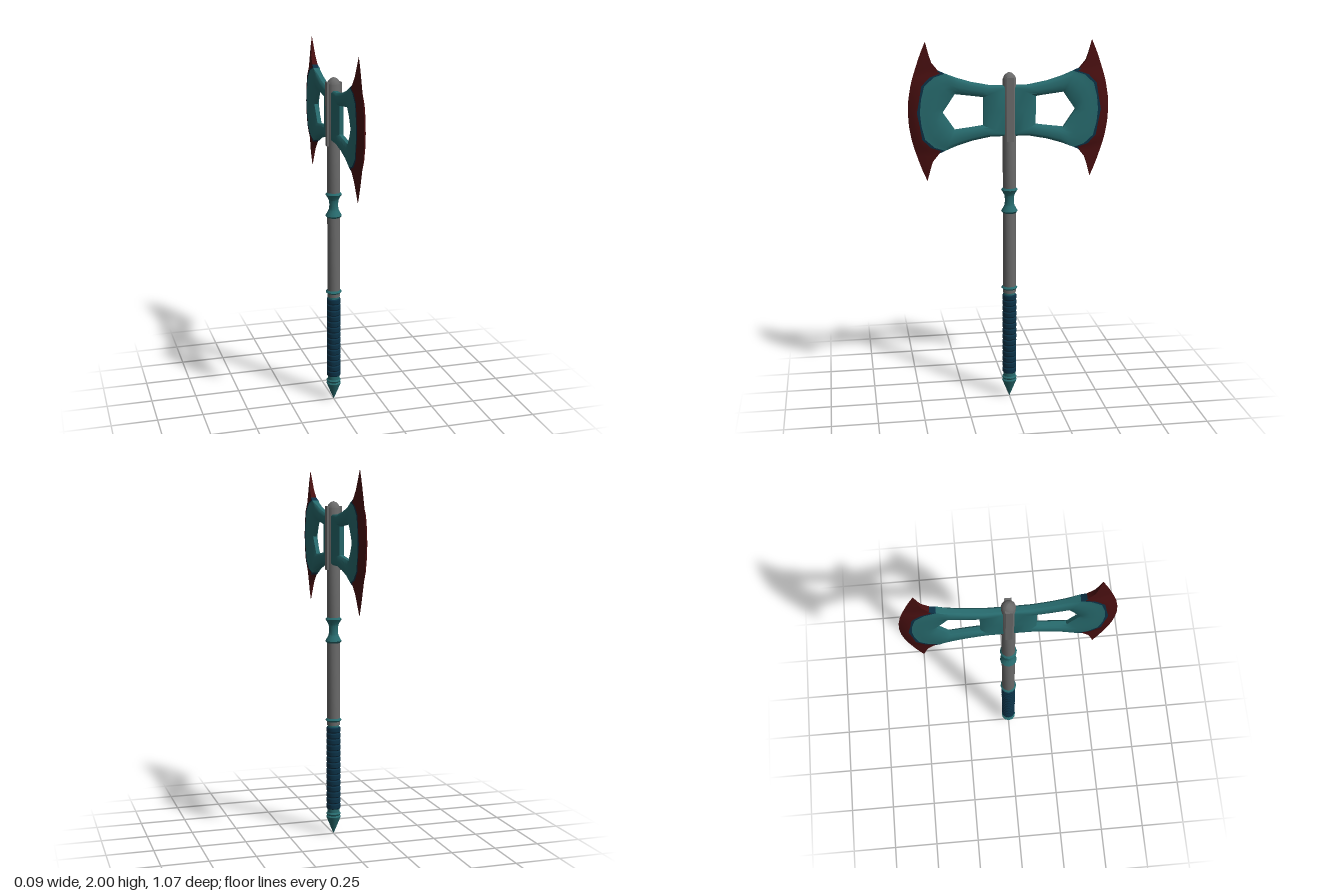
import * as THREE from 'three';
import { toCreasedNormals } from 'three/addons/utils/BufferGeometryUtils.js';

const mat = (name, color) => {
  const m = new THREE.MeshStandardMaterial({ color });
  m.name = name;
  return m;
};

// Skin closed cross-sections; paint(i, j) picks the material slot of each quad
function loft(sections, closed, paint = () => 0) {
  const n = sections.length, m = sections[0].length;
  const faces = [[], []];
  for (let i = 0; i < (closed ? n : n - 1); i++) {
    for (let j = 0; j < m; j++) {
      const i2 = (i + 1) % n, j2 = (j + 1) % m;
      const a = i * m + j, b = i2 * m + j, c = i2 * m + j2, d = i * m + j2;
      faces[paint(i, j)].push(a, d, c, a, c, b);
    }
  }
  const geo = new THREE.BufferGeometry();
  geo.setAttribute('position', new THREE.Float32BufferAttribute(sections.flat(2), 3));
  geo.setIndex(faces.flat());
  geo.addGroup(0, faces[0].length, 0);
  geo.addGroup(faces[0].length, faces[1].length, 1);
  return toCreasedNormals(geo, 0.6);
}

// Cross-section from an inner to an outer point [z, y]; rows are [fraction, half thickness]
function section(inner, outer, rows) {
  const at = ([v, x], side) => [
    side * x,
    THREE.MathUtils.lerp(inner[1], outer[1], v),
    THREE.MathUtils.lerp(inner[0], outer[0], v),
  ];
  return [...rows.map(r => at(r, 1)), ...[...rows].reverse().map(r => at(r, -1))];
}

const flip = ([z, y]) => [z, -y];

// Flat body around the five-sided opening: [outline, opening, rim half thickness]
function bladeBody() {
  const half = [
    [[0, 0], [0.14, 0], 0.012],
    [[0, 0.135], [0.14, 0.075], 0.011],
    [[0.1, 0.135], [0.165, 0.079], 0.011],
    [[0.2, 0.154], [0.21, 0.085], 0.011],
    [[0.28, 0.178], [0.26, 0.091], 0.011],
    [[0.345, 0.203], [0.29, 0.095], 0.018],
    [[0.40, 0.185], [0.303, 0.076], 0.020],
    [[0.45, 0.14], [0.32, 0.051], 0.021],
    [[0.468, 0.07], [0.338, 0.025], 0.022],
    [[0.475, 0], [0.355, 0], 0.022],
  ];
  const ring = [...half, ...half.slice(1, -1).reverse().map(([o, h, e]) => [flip(o), flip(h), e])];
  return loft(ring.map(([o, h, e]) => section(h, o, [
    [0, 0.010], [0.18, 0.021], [0.45, 0.024], [0.75, 0.0235], [0.9, Math.max(0.019, e)], [1, e],
  ])), true);
}

// Crescent cutting edge: [inner, outer, half thickness, width share of the border]
function cuttingEdge() {
  const half = [
    [[0.44, 0.368], [0.44, 0.368], 0, 0.02],
    [[0.423, 0.30], [0.463, 0.315], 0.008, 0.02],
    [[0.41, 0.26], [0.478, 0.275], 0.012, 0.02],
    [[0.375, 0.217], [0.49, 0.24], 0.015, 0.06],
    [[0.345, 0.203], [0.50, 0.21], 0.018, 0.14],
    [[0.40, 0.185], [0.508, 0.185], 0.020, 0.2],
    [[0.45, 0.14], [0.52, 0.14], 0.021, 0.22],
    [[0.468, 0.07], [0.532, 0.07], 0.022, 0.14],
    [[0.475, 0], [0.536, 0], 0.022, 0.26],
  ];
  const all = [...half, ...half.slice(0, -1).reverse().map(([a, b, h, w]) => [flip(a), flip(b), h, w])];
  const sections = all.map(([a, b, h, w]) =>
    section(a, b, [[0, h], [w, h * 0.98], [0.55, h * 0.75], [1, 0]]));
  // The border runs only beside the body, not on the horns
  return loft(sections, false, (i, j) => (i >= 3 && i <= 12 && (j === 0 || j >= 6) ? 1 : 0));
}

export function createModel() {
  const steel = mat('grey metal', 0x6a6a6a);
  const teal = mat('teal metal', 0x276a6d);
  const red = mat('dark red edge', 0x480f10);
  const navy = mat('navy wrap', 0x0b3146);

  const model = new THREE.Group();
  model.name = 'doubleAxe';
  const add = (parent, name, geo, material) => {
    const mesh = new THREE.Mesh(geo, material);
    mesh.name = name;
    parent.add(mesh);
    return mesh;
  };
  const turned = (name, profile, material) => add(model, name, toCreasedNormals(
    new THREE.LatheGeometry(profile.map(([r, y]) => new THREE.Vector2(r, y)), 12), 0.6), material);

  // Shaft with domed cap
  turned('shaft', [[0.036, 0.62], [0.036, 1.08]], steel);
  turned('upperShaft', [[0.036, 1.2], [0.036, 1.8], [0.028, 1.818], [0.015, 1.83], [0, 1.836]], steel);

  // Socket cheeks on both sides of the shaft
  const socket = add(model, 'headSocket', new THREE.BoxGeometry(0.082, 0.34, 0.036), steel);
  socket.position.y = 1.64;

  // Turned collars and pointed pommel
  turned('spoolCollar', [
    [0.034, 1.072], [0.045, 1.085], [0.036, 1.1], [0.027, 1.118], [0.024, 1.145],
    [0.027, 1.172], [0.036, 1.19], [0.045, 1.203], [0.034, 1.216],
  ], teal);
  turned('gripCollar', [[0.034, 0.605], [0.03, 0.625], [0.035, 0.638], [0.045, 0.648], [0.034, 0.66]], teal);
  turned('pommel', [
    [0, 0], [0.036, 0.088], [0.041, 0.1], [0.035, 0.108], [0.041, 0.118], [0.034, 0.126], [0.034, 0.15],
  ], teal);

  // Grip with a groove between the wraps
  const wraps = 14, start = 0.145, step = 0.465 / wraps;
  const grip = [[0.03, start]];
  for (let i = 0; i < wraps; i++) {
    const y = start + i * step;
    grip.push([0.035, y + 0.001], [0.039, y + 0.006], [0.039, y + step - 0.006], [0.035, y + step - 0.001]);
  }
  grip.push([0.03, start + wraps * step]);
  turned('grip', grip, navy);

  // Two matching blades, front and back
  const bodyGeo = bladeBody(), edgeGeo = cuttingEdge();
  ['frontBlade', 'backBlade'].forEach((name, i) => {
    const blade = new THREE.Group();
    blade.name = name;
    blade.position.y = 1.632;
    blade.rotation.y = i * Math.PI;
    add(blade, 'bladeBody', bodyGeo, teal);
    add(blade, 'cuttingEdge', edgeGeo, [red, navy]);
    model.add(blade);
  });
  return model;
}
